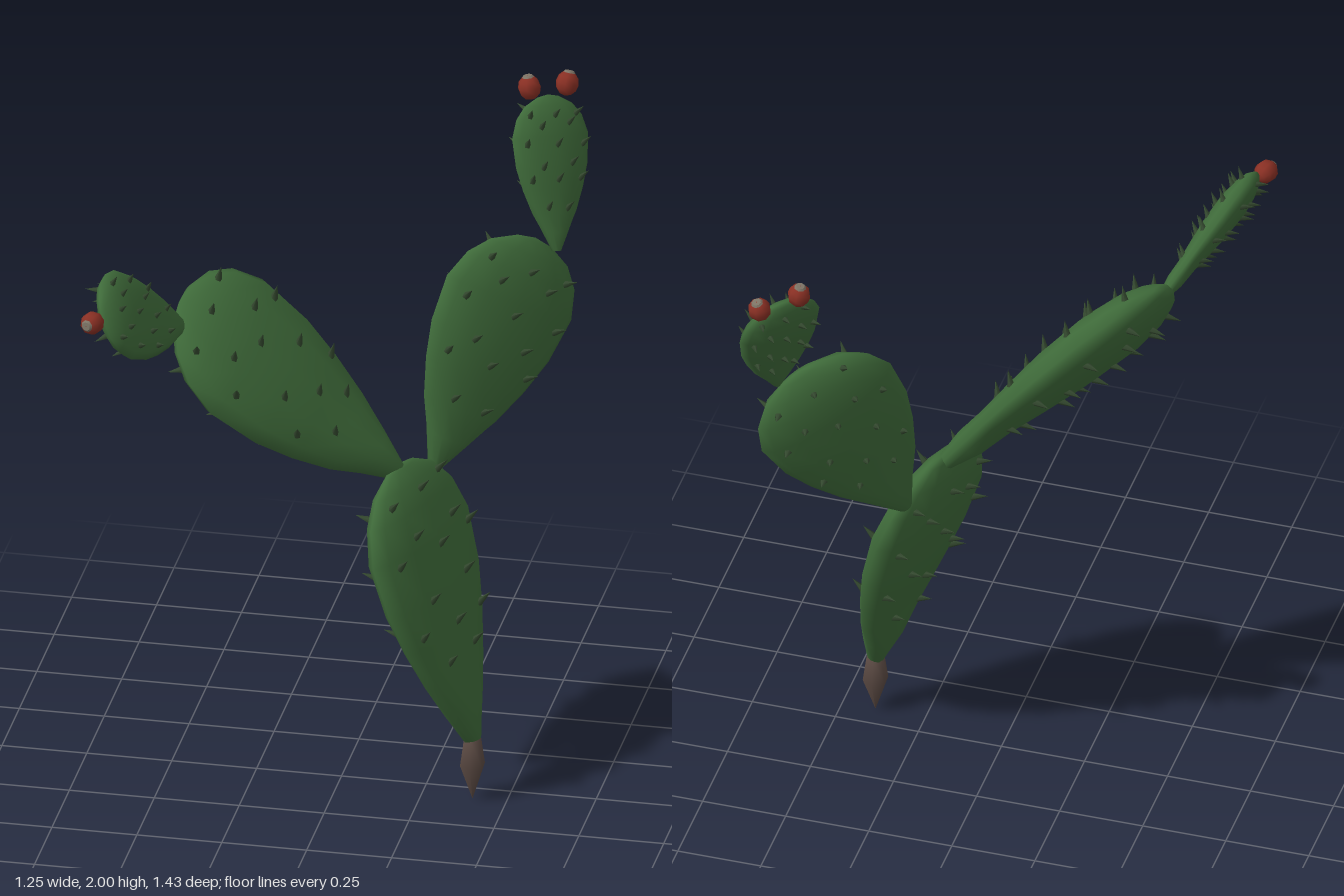
import * as THREE from 'three';
import { mergeVertices, mergeGeometries } from 'three/addons/utils/BufferGeometryUtils.js';

const material = (color) => new THREE.MeshStandardMaterial({ color });
const V = (a) => new THREE.Vector3(...a);

// Pad half-width along its length, both as fractions
const PROFILE = [[0, 0], [0, 0.1], [0.12, 0.32], [0.25, 0.58], [0.4, 0.79], [0.55, 0.94],
  [0.74, 1], [0.86, 0.86], [0.94, 0.62], [0.99, 0.28], [1.005, 0]];

function widthAt(t) {
  for (let i = 2; i < PROFILE.length; i++) {
    const [t0, w0] = PROFILE[i - 1], [t1, w1] = PROFILE[i];
    if (t <= t1) return w0 + (w1 - w0) * (t - t0) / (t1 - t0);
  }
  return 0;
}

// Round at the neck, flat above it
const flatness = (t, thin) => thin + (1 - thin) * Math.max(0, 1 - t / 0.3) ** 2;

function padGeometry(length, half, thin) {
  const points = PROFILE.map(([t, w]) => new THREE.Vector2(w * half, t * length));
  let g = new THREE.LatheGeometry(points, 12);
  const p = g.attributes.position;
  for (let i = 0; i < p.count; i++) p.setZ(i, p.getZ(i) * flatness(p.getY(i) / length, thin));
  g.deleteAttribute('normal');
  g.deleteAttribute('uv');
  g = mergeVertices(g, 1e-5);
  g.computeVertexNormals();
  return g;
}

// Staggered rows of small thorns on both faces, leaning towards the pad's tip
function spineGeometry(length, half, thin) {
  const spines = [], up = new THREE.Vector3(0, 1, 0);
  const size = 0.032 + 0.08 * half;
  [0.3, 0.44, 0.57, 0.69, 0.8, 0.9].forEach((row, r) => {
    for (const side of [-1, 1]) {
      for (const f of r % 2 ? [-0.74, 0, 0.74] : [-0.4, 0.4]) {
        const t = row + 0.025 * Math.sin(r * 7 + f * 9 + side);
        const w = widthAt(t) * half, depth = w * flatness(t, thin);
        const nz = Math.sqrt(1 - f * f);
        const normal = new THREE.Vector3(f / w, 0, side * nz / depth).normalize();
        const dir = normal.clone().addScaledVector(up, 0.6).normalize();
        const cone = new THREE.ConeGeometry(size * 0.24, size, 5);
        cone.translate(0, size * 0.36, 0);
        cone.applyQuaternion(new THREE.Quaternion().setFromUnitVectors(up, dir));
        cone.translate(f * w, t * length, side * nz * depth);
        spines.push(cone);
      }
    }
  });
  return mergeGeometries(spines);
}

// base and tip are the ends of the pad, across is its width direction
const PADS = [
  { name: 'trunkPad', base: [0.4, 0.19, 0.07], tip: [0.17, 1.015, 0], across: [-0.32, 0, 0.95], half: 0.26, thin: 0.28 },
  { name: 'rightPad', base: [0.17, 0.99, 0], tip: [-0.43, 1.58, 0.22], across: [-0.1, -0.445, 0.89], half: 0.255, thin: 0.32 },
  { name: 'leftPad', base: [0.24, 0.94, -0.17], tip: [0.48, 1.56, -0.44], across: [0.726, -0.44, -0.524], half: 0.225, thin: 0.31 },
  { name: 'leftTopPad', base: [0.54, 1.52, -0.455], tip: [0.48, 1.935, -0.62], across: [0.7, -0.157, -0.65], half: 0.13, thin: 0.32 },
  { name: 'rightTopPad', base: [-0.41, 1.525, 0.26], tip: [-0.58, 1.735, 0.63], across: [-0.32, 0.78, -0.54], half: 0.135, thin: 0.32 },
];

const FRUITS = [
  { at: [0.43, 1.965, -0.6], dir: [-0.15, 1, -0.1] },
  { at: [0.525, 1.95, -0.68], dir: [0.15, 1, -0.35] },
  { at: [-0.595, 1.715, 0.675], dir: [-0.3, 0.1, 0.9] },
];

export function createModel() {
  const model = new THREE.Group();
  const green = material(0x3f6b3a), thorn = material(0x34492f);
  const red = material(0x8a3024), dry = material(0x7d7466);

  // Flat pads with their thorns
  for (const { name, base, tip, across, half, thin } of PADS) {
    const pad = new THREE.Group();
    pad.name = name;
    const y = V(tip).sub(V(base)), length = y.length();
    y.normalize();
    const z = V(across).cross(y).normalize();
    const x = y.clone().cross(z);
    pad.quaternion.setFromRotationMatrix(new THREE.Matrix4().makeBasis(x, y, z));
    pad.position.set(...base);
    const body = new THREE.Mesh(padGeometry(length, half, thin), green);
    body.name = 'padBody';
    const spines = new THREE.Mesh(spineGeometry(length, half, thin), thorn);
    spines.name = 'spines';
    pad.add(body, spines);
    model.add(pad);
  }

  // Pointed woody root under the trunk pad
  const rootProfile = [[0, 0.01], [0.038, 0.12], [0.026, 0.205], [0, 0.21]].map((p) => new THREE.Vector2(...p));
  const root = new THREE.Mesh(new THREE.LatheGeometry(rootProfile, 6), material(0x5c4b44));
  root.name = 'root';
  root.position.set(0.4, -0.01, 0.07);
  model.add(root);

  // Fruits with dry caps
  for (const { at, dir } of FRUITS) {
    const fruit = new THREE.Group();
    fruit.name = 'fruit';
    const berry = new THREE.Mesh(new THREE.SphereGeometry(0.034, 8, 6), red);
    berry.name = 'berry';
    berry.scale.y = 1.1;
    const cap = new THREE.Mesh(new THREE.CylinderGeometry(0.013, 0.02, 0.008, 8), dry);
    cap.name = 'cap';
    cap.position.y = 0.033;
    fruit.add(berry, cap);
    fruit.position.set(...at);
    fruit.quaternion.setFromUnitVectors(new THREE.Vector3(0, 1, 0), V(dir).normalize());
    model.add(fruit);
  }
  return model;
}
